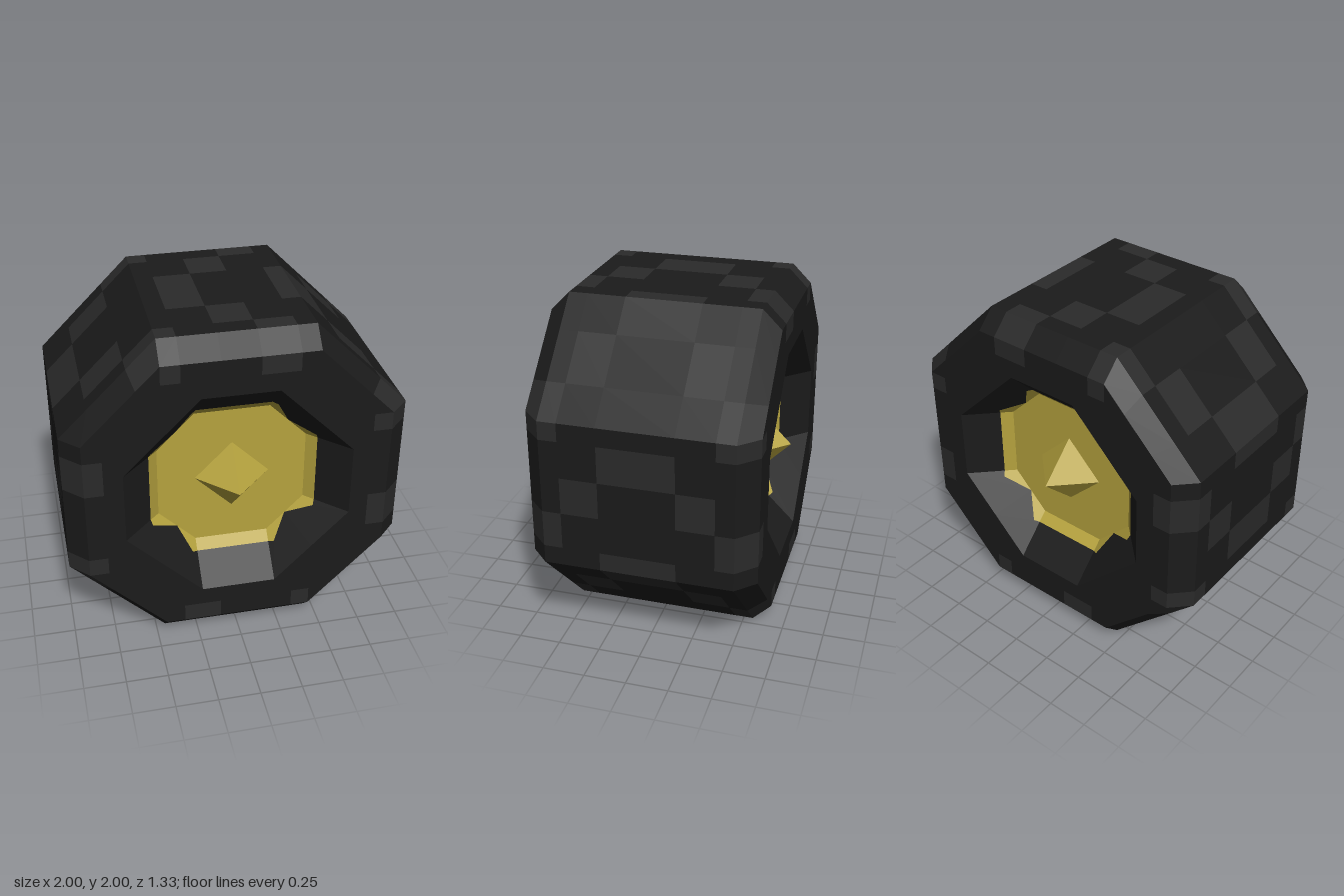
import * as THREE from 'three';

const U = 1 / 9; // modelling unit
const rubber = new THREE.MeshStandardMaterial({ color: 0x1b1b1b, flatShading: true });
const tread = new THREE.MeshStandardMaterial({ color: 0x2a2a2a, flatShading: true });
const gold = new THREE.MeshStandardMaterial({ color: 0xb5a23e, flatShading: true });

// Collects quads into flat-shaded triangles, skipping collapsed ones
function addQuad(out, a, b, c, d) {
  for (const [p, q, r] of [[a, b, c], [a, c, d]]) {
    const n = q.clone().sub(p).cross(r.clone().sub(p));
    if (n.length() > 1e-9) for (const v of [p, q, r]) out.push(v.x, v.y, v.z);
  }
}

function toMesh(out, material, name) {
  const geometry = new THREE.BufferGeometry();
  geometry.setAttribute('position', new THREE.Float32BufferAttribute(out, 3));
  geometry.computeVertexNormals();
  const mesh = new THREE.Mesh(geometry, material);
  mesh.name = name;
  return mesh;
}

const turn = (x, y, z, quarter) =>
  new THREE.Vector3(x, y, z).applyAxisAngle(new THREE.Vector3(0, 0, 1), quarter * Math.PI / 2);

// Cross-section in units from the back opening to the front: radius, half side, z
const section = [
  [6, 2, -6], [7, 4, -6], [8, 4, -6], [9, 4, -5], [9, 4, -4], [9, 4, -2],
  [9, 4, 2], [9, 4, 4], [9, 4, 5], [8, 4, 6], [7, 4, 6], [6, 2, 6],
];
const rows = ['plain', 'ring', 'outer', 'outer', 'middle', 'centre',
  'middle', 'outer', 'outer', 'ring', 'plain'];

// Columns along a straight and a slanted side, each with its raised-tone row
const sides = [
  { cuts: [0, 0.125, 0.375, 0.625, 0.875, 1],
    blocks: ['centre', 'outer', 'middle', 'centre', 'outer'], ring: true },
  { cuts: [0, 0.3, 0.7, 1], blocks: ['outer', 'middle', 'centre'], ring: false },
];

// Octagonal tyre with a chevron tread
function buildTyre(group) {
  const dark = [], light = [];
  for (let k = 0; k < 8; k++) {
    const { cuts, blocks, ring } = sides[k % 2];
    const point = ([r, h, z], f) => {
      const from = k % 2 ? [r, h] : [r, -h];
      const to = k % 2 ? [h, r] : [r, h];
      return turn(U * (from[0] + (to[0] - from[0]) * f),
        U * (from[1] + (to[1] - from[1]) * f), U * z, k >> 1);
    };
    rows.forEach((row, i) => blocks.forEach((block, j) => {
      const raised = row === block || (row === 'ring' && ring && block === 'outer');
      addQuad(raised ? light : dark,
        point(section[i], cuts[j]), point(section[i], cuts[j + 1]),
        point(section[i + 1], cuts[j + 1]), point(section[i + 1], cuts[j]));
    }));
  }
  group.add(toMesh(dark, rubber, 'tyre'), toMesh(light, tread, 'treadBlocks'));
}

// One quarter of the dish: opening edge, notched lip edge, hub face edge
const opening = [[6, 2, 6], [6, 2, 6], [4, 4, 6], [2, 6, 6], [2, 6, 6]];
const lipEdge = [[4.5, 2, 4.5], [4.4, 2.27, 4.67], [3, 3, 4], [2.27, 4.4, 4.67], [2, 4.5, 4.5]];
const faceEdge = [[4, 2, 4], [4, 2, 4], [3, 3, 4], [2, 4, 4], [2, 4, 4]];

function ringPoints(quarterPoints) {
  const points = [];
  for (let q = 0; q < 4; q++) {
    for (const [x, y, z] of quarterPoints) points.push(turn(x * U, y * U, z * U, q));
  }
  return points;
}

function loft(outer, inner) {
  const out = [];
  outer.forEach((p, i) => {
    const j = (i + 1) % outer.length;
    addQuad(out, p, outer[j], inner[j], inner[i]);
  });
  return out;
}

// Sunken hub with sloping lip and a pyramid cap
function buildHub(name) {
  const hub = new THREE.Group();
  hub.name = name;
  const edge = ringPoints(lipEdge), face = ringPoints(faceEdge);
  hub.add(toMesh(loft(ringPoints(opening), edge), rubber, 'tyreInnerWall'));
  hub.add(toMesh(loft(edge, face), gold, 'hubLip'));

  const outline = ringPoints([[4, 2, 0], [2, 4, 0]]);
  const shape = new THREE.Shape(outline.map(p => new THREE.Vector2(p.x, p.y)));
  const disc = new THREE.Mesh(new THREE.ShapeGeometry(shape), gold);
  disc.name = 'hubFace';
  disc.position.z = 4 * U;

  const cap = new THREE.Mesh(new THREE.ConeGeometry(2 * U, 2 * U, 4, 1, true), gold);
  cap.name = 'hubCap';
  cap.rotation.x = Math.PI / 2;
  cap.position.z = 5 * U;
  hub.add(disc, cap);
  return hub;
}

export function createModel() {
  const wheel = new THREE.Group();
  wheel.name = 'wheel';
  buildTyre(wheel);
  const front = buildHub('frontHub');
  const back = buildHub('backHub');
  back.rotation.y = Math.PI;
  wheel.add(front, back);
  wheel.position.y = 1;
  const model = new THREE.Group();
  model.add(wheel);
  return model;
}
